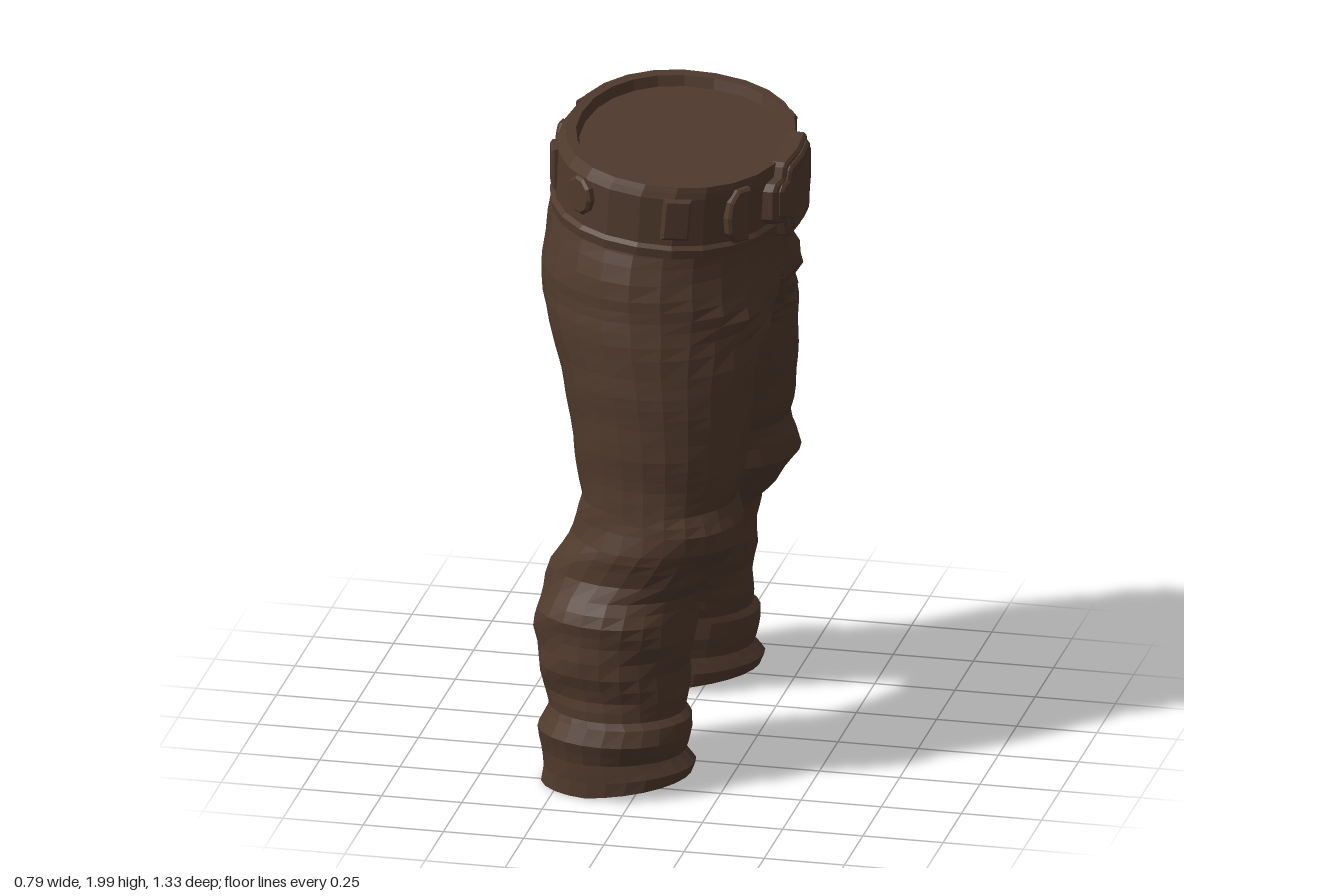
import * as THREE from 'three';

const brown = new THREE.MeshStandardMaterial({ color: 0x503a2d, flatShading: true });
brown.name = 'brown leather';

const SIDES = 24;
const BELT_SLOPE = -0.095;

// Skins a stack of rings; each ring is an array of SIDES points [x, y, z].
function loft(rings, { capStart, capEnd, flip } = {}) {
  const pos = rings.flat(2);
  const index = [];
  const tri = (a, b, c) => (flip ? index.push(a, c, b) : index.push(a, b, c));
  for (let r = 0; r < rings.length - 1; r++) {
    for (let i = 0; i < SIDES; i++) {
      const j = (i + 1) % SIDES;
      const lo = r * SIDES, up = lo + SIDES;
      tri(lo + i, up + i, lo + j);
      tri(lo + j, up + i, up + j);
    }
  }
  const cap = (r, top) => {
    const c = pos.length / 3;
    for (let k = 0; k < 3; k++) pos.push(rings[r].reduce((s, p) => s + p[k], 0) / SIDES);
    for (let i = 0; i < SIDES; i++) {
      const a = r * SIDES + i, b = r * SIDES + ((i + 1) % SIDES);
      if (top) tri(c, b, a); else tri(c, a, b);
    }
  };
  if (capStart) cap(0, false);
  if (capEnd) cap(rings.length - 1, true);
  const g = new THREE.BufferGeometry();
  g.setAttribute('position', new THREE.Float32BufferAttribute(pos, 3));
  g.setIndex(index);
  g.computeVertexNormals();
  return g;
}

function add(parent, name, geometry) {
  const m = new THREE.Mesh(geometry, brown);
  m.name = name;
  parent.add(m);
  return m;
}

// Trouser half, hem to waist: height, back x, front x, inner z, outer z.
// Above the crotch the inner side passes z = 0 and is cut off there.
const LEG = [
  [0.01, -0.315, 0.15, 0.29, 0.645], [0.06, -0.31, 0.165, 0.285, 0.645],
  [0.12, -0.315, 0.13, 0.28, 0.645], [0.19, -0.325, 0.15, 0.27, 0.665],
  [0.24, -0.3, 0.15, 0.275, 0.645], [0.26, -0.295, 0.13, 0.27, 0.635],
  [0.32, -0.31, 0.135, 0.245, 0.635], [0.4, -0.335, 0.14, 0.215, 0.645],
  [0.5, -0.345, 0.15, 0.19, 0.65], [0.57, -0.34, 0.16, 0.18, 0.65],
  [0.64, -0.32, 0.165, 0.17, 0.62], [0.69, -0.305, 0.22, 0.17, 0.605],
  [0.74, -0.28, 0.255, 0.16, 0.605], [0.8, -0.24, 0.29, 0.15, 0.615],
  [0.86, -0.22, 0.285, 0.14, 0.61], [0.92, -0.215, 0.27, 0.125, 0.59],
  [1.0, -0.23, 0.285, 0.1, 0.585], [1.1, -0.245, 0.295, 0.07, 0.588],
  [1.2, -0.265, 0.3, 0.035, 0.585], [1.3, -0.29, 0.305, 0, 0.58],
  [1.36, -0.315, 0.31, -0.08, 0.575], [1.42, -0.345, 0.32, -0.18, 0.568],
  [1.5, -0.38, 0.34, -0.3, 0.555], [1.6, -0.395, 0.335, -0.44, 0.54],
  [1.7, -0.385, 0.33, -0.5, 0.515], [1.8, -0.36, 0.33, -0.48, 0.48],
];

function legGeometry(side) {
  // Split the tall spans so that cloth folds have rows to bend.
  const rows = [];
  LEG.forEach((row, i) => {
    const next = LEG[i + 1];
    if (!next) return rows.push(row);
    const n = Math.max(1, Math.round((next[0] - row[0]) / 0.04));
    for (let k = 0; k < n; k++) rows.push(row.map((v, c) => v + (next[c] - v) * k / n));
  });
  const rings = rows.map(([y, xb, xf, zi, zo]) => {
    const ring = [];
    for (let i = 0; i < SIDES; i++) {
      const a = (i / SIDES) * Math.PI * 2;
      const c = Math.cos(a), s = Math.sin(a);
      // Slanting wrinkles, strong on the shin and faint on the thigh.
      const amp = y < 0.3 ? 0.008 : y < 0.95 ? 0.025 : 0.006;
      let f = 1 + amp * (Math.sin(y * 36 + 2.2 * Math.sin(2 * a + side) + side) - 0.4);
      let z = (zi + zo) / 2 + (zo - zi) / 2 * s * f;
      // Crease running from the crotch up to the hip.
      if (c > 0) {
        const d = y - (1.34 + 0.5 * Math.max(0, z - 0.05));
        f += c * (0.05 * Math.exp(-((d / 0.035) ** 2)) - 0.05 * Math.exp(-(((d + 0.06) / 0.035) ** 2)));
      }
      const x = (xb + xf) / 2 + (xf - xb) / 2 * c * f;
      z = Math.max(0, z);
      const waist = Math.max(0, (y - 1.6) / 0.15);
      const hem = Math.max(0, 1 - y / 0.15);
      ring.push([x, y + waist * BELT_SLOPE * x + hem * 0.05 * Math.max(0, (x + 0.15) / 0.3), z * side]);
    }
    return ring;
  });
  return loft(rings, { capStart: true, flip: side < 0 });
}

// Belt section from lower lip over the rim to the sunken top:
// half depth, half width, height, centre x.
const BELT = [
  [0.33, 0.46, 1.735, -0.015], [0.362, 0.5, 1.74, -0.012], [0.364, 0.503, 1.768, -0.012],
  [0.352, 0.492, 1.78, -0.01], [0.352, 0.492, 1.93, -0.002], [0.345, 0.485, 1.95, 0.005],
  [0.338, 0.478, 1.967, 0.01], [0.312, 0.435, 1.967, 0.015], [0.303, 0.425, 1.935, 0.015],
];

const rounded = (v) => Math.sign(v) * Math.abs(v) ** 0.92;

function beltGeometry() {
  return loft(BELT.map(([rx, rz, y, cx]) => Array.from({ length: SIDES }, (_, i) => {
    const a = (i / SIDES) * Math.PI * 2;
    const x = cx + rx * rounded(Math.cos(a));
    return [x, y + BELT_SLOPE * x, rz * rounded(Math.sin(a))];
  })), { capEnd: true });
}

// Bevelled plate from an outline, optionally bent back towards its ends.
function plate(points, depth, bend = 0) {
  const g = new THREE.ExtrudeGeometry(new THREE.Shape(points.map((p) => new THREE.Vector2(...p))), {
    depth, bevelThickness: 0.008, bevelSize: 0.008, bevelOffset: -0.008, bevelSegments: 1,
  });
  const p = g.attributes.position;
  for (let i = 0; i < p.count; i++) p.setZ(i, p.getZ(i) - bend * p.getX(i) ** 2);
  g.computeVertexNormals();
  return g;
}

const box = (w, h) => [[-w, -h], [w, -h], [w, h], [-w, h]];
const stud = Array.from({ length: 10 }, (_, i) => [
  0.057 * Math.cos(i * Math.PI / 5), 0.062 * Math.sin(i * Math.PI / 5)]);
const shield = [[-0.035, -0.085], [0.02, -0.085], [0.05, -0.05], [0.058, 0], [0.05, 0.05], [0.02, 0.085], [-0.035, 0.085]];
const mirrorX = (pts) => pts.map(([x, y]) => [-x, y]).reverse();

// Sets a plate on the belt at angle a, facing outwards.
function onBelt(parent, name, geometry, a, y) {
  const x = -0.005 + 0.345 * rounded(Math.cos(a)), z = 0.483 * rounded(Math.sin(a));
  const turn = Math.atan2(Math.cos(a) / 0.355, Math.sin(a) / 0.495);
  const m = add(parent, name, geometry);
  m.position.set(x, y + BELT_SLOPE * x, z);
  m.rotation.set(0, turn, BELT_SLOPE * Math.cos(turn), 'YXZ');
}

export function createModel() {
  const model = new THREE.Group();
  model.name = 'trousers';
  add(model, 'leftLeg', legGeometry(1));
  add(model, 'rightLeg', legGeometry(-1));

  const belt = new THREE.Group();
  belt.name = 'beltGroup';
  model.add(belt);
  add(belt, 'belt', beltGeometry());

  // Belt fittings on both sides
  for (const s of [1, -1]) {
    onBelt(belt, 'frontShield', plate(s > 0 ? mirrorX(shield) : shield, 0.02), s * 0.72, 1.86);
    onBelt(belt, 'sideLoop', plate(box(0.043, 0.065), 0.015), s * 1.29, 1.868);
    onBelt(belt, 'sideStud', plate(stud, 0.015), s * 2.13, 1.875);
    onBelt(belt, 'backLoop', plate(box(0.043, 0.065), 0.015), s * 2.74, 1.868);
  }
  onBelt(belt, 'backStud', plate(stud, 0.012), Math.PI, 1.868);

  // Buckle with a raised inner panel
  const half = [[0, -0.13], [0.1, -0.13], [0.125, -0.115], [0.14, -0.07], [0.2, -0.055], [0.218, -0.035],
    [0.218, 0.055], [0.2, 0.075], [0.155, 0.08], [0.145, 0.11], [0.13, 0.122], [0, 0.122]];
  const outline = [...half, ...mirrorX(half.slice(1, -1))];
  const buckle = new THREE.Group();
  buckle.name = 'buckle';
  buckle.position.set(0.33, 1.815, 0);
  buckle.rotation.set(0, Math.PI / 2, 0);
  belt.add(buckle);
  add(buckle, 'bucklePlate', plate(outline, 0.045, 0.6));
  add(buckle, 'bucklePanel', plate(outline.map(([x, y]) => [x * 0.88, y * 0.86]), 0.056, 0.6));
  return model;
}
